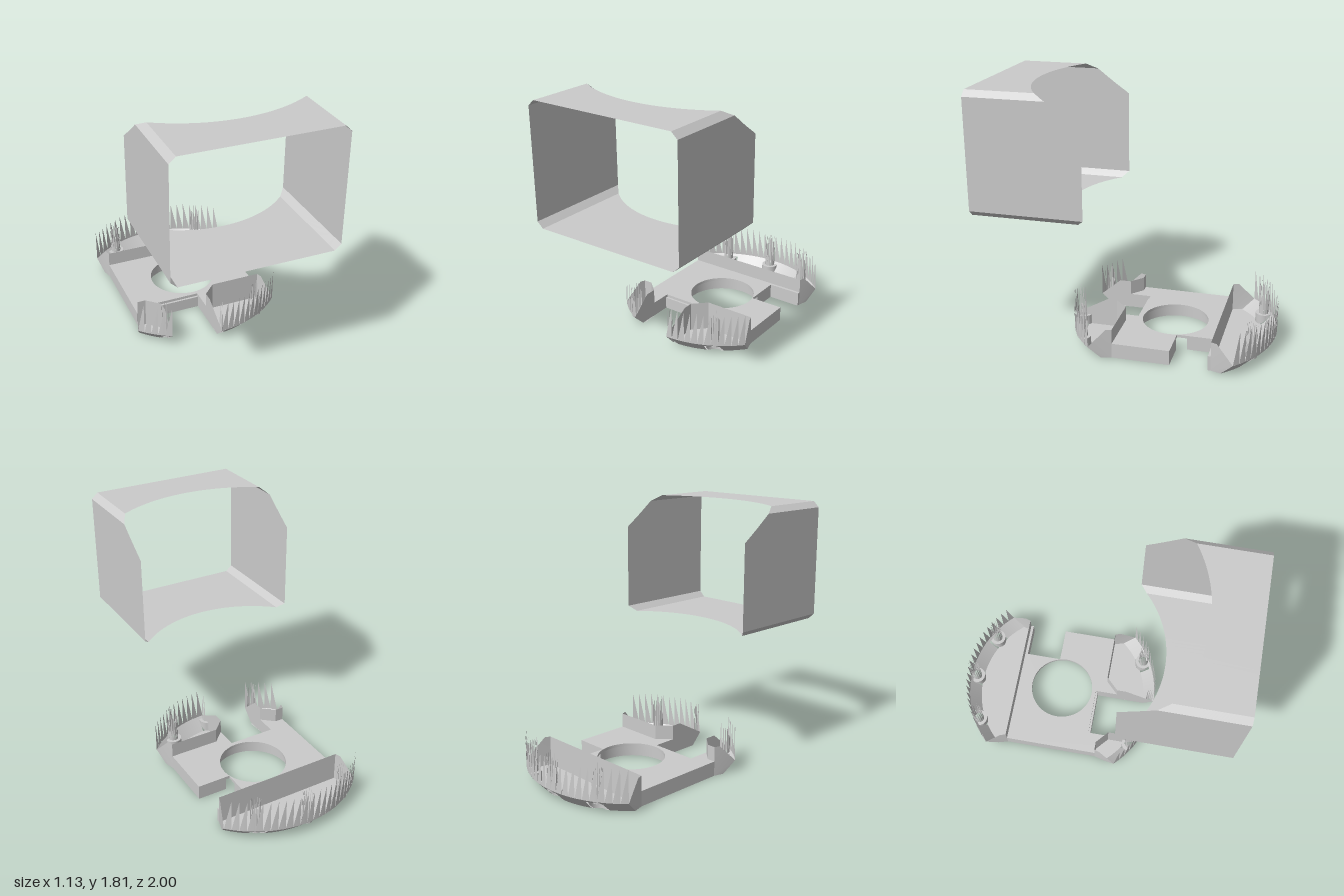
import * as THREE from 'three';
import { toCreasedNormals } from 'three/addons/utils/BufferGeometryUtils.js';

const CZ = -0.28;            // z of the common axis of the hole, rims and sleeve cut
const R0 = 0.64, R1 = 0.72;  // bottom and top radius of the chamfered rim
const RIM = 0.085, PLATE = 0.105, WALL = 0.21, TIP = 0.32;
const BOLT = 0.681, BORE = 0.06, HOLE = 0.037, SEAT = 0.07;

const mat = new THREE.MeshStandardMaterial({ color: 0xcccccc, side: THREE.DoubleSide });
const lerp = THREE.MathUtils.lerp;
const range = (n, f) => Array.from({ length: n + 1 }, (_, i) => f(i / n, i));

function add(group, name, geometry) {
  const mesh = new THREE.Mesh(toCreasedNormals(geometry, 0.45), mat);
  mesh.name = name;
  group.add(mesh);
}

// Geometry from a list of triangles, three points each
function fromTris(points) {
  return new THREE.BufferGeometry().setFromPoints(points);
}
function strip(a, b) {
  const p = [];
  for (let i = 0; i + 1 < a.length; i++) p.push(a[i], a[i + 1], b[i + 1], a[i], b[i + 1], b[i]);
  return fromTris(p);
}
function fan(pts) {
  const p = [];
  for (let i = 1; i + 1 < pts.length; i++) p.push(pts[0], pts[i], pts[i + 1]);
  return fromTris(p);
}
// Saw teeth along a path: each stands upright over its second base point
function teeth(path, top) {
  const p = [];
  for (let i = 0; i + 1 < path.length; i++) {
    p.push(path[i], path[i + 1], path[i + 1].clone().setY(top));
  }
  return fromTris(p);
}
const v = (x, y, z) => new THREE.Vector3(x, y, z);

// Flat slab in the xz plane between heights y0 and y1
function slab(shape, y0, y1) {
  const g = new THREE.ExtrudeGeometry(shape, { depth: y1 - y0, bevelEnabled: false, curveSegments: 48 });
  return g.rotateX(Math.PI / 2).translate(0, y1, 0);
}
function plateShape(notchZ, bored) {
  const s = new THREE.Shape();
  s.moveTo(-0.47, -0.62);
  s.lineTo(0.47, -0.62);
  s.lineTo(0.47, -0.6);
  s.lineTo(0.23, -0.6);
  if (bored) {
    // the wide bore breaks into the side notch
    s.lineTo(0.23, CZ - 0.132);
    s.absarc(0, CZ, 0.265, Math.atan2(-0.132, 0.23), Math.atan2(-0.06, 0.258), true);
  } else {
    s.lineTo(0.23, -0.34);
    s.holes.push(new THREE.Path().absarc(0, CZ, 0.235, 0, Math.PI * 2, true));
  }
  [[0.47, -0.34], [0.47, 0.06], [0.11, 0.06], [0.02, 0.15], [0.02, notchZ], [-0.32, notchZ],
    [-0.32, 0.14], [-0.41, 0.06], [-0.47, 0.06]].forEach(([x, z]) => s.lineTo(x, z));
  return s;
}

// Rim sections: inner wall line, angular limits by radius, and bolt positions in x
const endAngle = r => THREE.MathUtils.degToRad(lerp(50, 46.5, (r - R0) / (R1 - R0)));
const sections = [
  { name: 'backRim', s: -1, inner: [[-0.47, -0.62], [0.47, -0.62]], lo: r => -endAngle(r), hi: endAngle,
    bolts: [-0.34, 0, 0.34], n: 23, xMin: -1, xMax: 1, ends: [-1, 1] },
  { name: 'frontRimLeft', s: 1, inner: [[0.02, 0.15], [0.11, 0.06], [0.47, 0.06]],
    lo: r => Math.asin(0.02 / r), hi: endAngle, bolts: [0, 0.34], n: 12, xMin: 0.02, xMax: 1, ends: [1], cut: [0.02, 0.15] },
  { name: 'frontRimRight', s: 1, inner: [[-0.47, 0.06], [-0.41, 0.06], [-0.32, 0.14]],
    lo: r => -endAngle(r), hi: r => -Math.asin(0.32 / r), bolts: [-0.34], n: 5, xMin: -1, xMax: -0.32, ends: [-1], cut: [-0.32, 0.14] },
];

function buildRim(sec) {
  const g = new THREE.Group();
  g.name = sec.name;
  const at = (r, a, y) => v(r * Math.sin(a), y, CZ + sec.s * r * Math.cos(a));
  const angle = (r, t) => lerp(sec.lo(r), sec.hi(r), t);
  const coneY = r => RIM * (r - R0) / (R1 - R0);
  // half chord of the bolt bore at an angle, or -1 outside every bore
  const chord = a => Math.max(...sec.bolts.map(x => {
    const d = BOLT * (a - Math.asin(x / BOLT));
    return Math.abs(d) < BORE ? Math.sqrt(BORE * BORE - d * d) : -1;
  }));
  const N = sec.n * 10;

  // floor, notched by the bores
  const arc = range(N, t => {
    const a = angle(R0, 1 - t), h = chord(a);
    return at(h > 0 ? Math.min(R0, BOLT - h) : R0, a, 0);
  });
  const outline = [...sec.inner.map(p => new THREE.Vector2(...p)), ...arc.map(p => new THREE.Vector2(p.x, p.z))];
  add(g, 'floor', new THREE.ShapeGeometry(new THREE.Shape(outline)).rotateX(Math.PI / 2));

  // chamfer between floor and rim
  const low = range(N, t => {
    const a = angle(R0, t), h = chord(a);
    const r = h > 0 ? Math.max(R0, Math.min(0.705, BOLT + h)) : R0;
    return at(r, r > R0 ? angle(r, t) : a, coneY(r));
  });
  add(g, 'chamfer', strip(low, range(N, t => at(R1, angle(R1, t), RIM))));

  // toothed outer edge
  add(g, 'rimTeeth', teeth(range(sec.n, t => at(R1, angle(R1, sec.s > 0 ? t : 1 - t), RIM)), TIP));

  // inner upright wall
  add(g, 'innerWall', strip(sec.inner.map(([x, z]) => v(x, PLATE, z)), sec.inner.map(([x, z]) => v(x, WALL, z))));

  // slanted end walls
  for (const e of sec.ends) {
    const foot = v(e * 0.47, 0, sec.s < 0 ? -0.62 : 0.06);
    const tip = at(R1, e * endAngle(R1), RIM);
    add(g, 'endWall', fan([foot, foot.clone().setY(WALL), foot.clone().lerp(tip, 0.25).setY(WALL), tip,
      at(R0, e * endAngle(R0), 0)]));
  }
  // wall along the front notch
  if (sec.cut) {
    const [x, z] = sec.cut;
    const zAt = r => CZ + Math.sqrt(r * r - x * x);
    add(g, 'notchWall', fan([v(x, 0, z), v(x, WALL, z), v(x, WALL, 0.22), v(x, RIM, zAt(R1)), v(x, 0, zAt(R0))]));
  }

  // bolt seats: bore wall, ring and toothed hole
  for (const bx of sec.bolts) {
    const c = at(BOLT, Math.asin(bx / BOLT), SEAT);
    const ring = (rad, n) => range(n, t => {
      const a = t * Math.PI * 2;
      const x = c.x + rad * Math.cos(a), z = c.z + rad * Math.sin(a) - CZ;
      const k = Math.min(1, 0.705 / Math.hypot(x, z));
      return v(THREE.MathUtils.clamp(x * k, sec.xMin, sec.xMax), SEAT, z * k + CZ);
    });
    const outer = ring(BORE, 32);
    const foot = outer.map(p => p.clone().setY(
      THREE.MathUtils.clamp(coneY(Math.hypot(p.x, p.z - CZ)), 0, SEAT)));
    add(g, 'boltBore', strip(foot, outer));
    add(g, 'boltSeat', strip(ring(HOLE, 32), outer));
    const hole = range(16, t => v(c.x + HOLE * Math.cos(t * Math.PI * 2), SEAT, c.z + HOLE * Math.sin(t * Math.PI * 2)));
    const kept = hole.filter(p => p.x >= sec.xMin && p.x <= sec.xMax);
    // keep only neighbouring points so no tooth spans the cut
    for (let i = 0; i + 1 < kept.length; i++) {
      if (kept[i].distanceTo(kept[i + 1]) < 0.02) add(g, 'boltTooth', teeth([kept[i], kept[i + 1]], TIP));
    }
  }
  return g;
}

// Thin eight-sided sleeve, its back end cut by a cylinder that widens to a cone
function sleeveGeometry() {
  const corners = [[-0.52, 0.965], [0.52, 0.965], [0.563, 1.005], [0.563, 1.77], [0.52, 1.81],
    [-0.52, 1.81], [-0.563, 1.77], [-0.563, 1.005]];
  const front = [], back = [];
  corners.forEach(([x0, y0], i) => {
    const [x1, y1] = corners[(i + 1) % corners.length];
    range(40, t => {
      const x = lerp(x0, x1, t), y = lerp(y0, y1, t);
      const r = 0.75 + Math.max(0, y - 1.6);
      front.push(v(x, y, 1));
      back.push(v(x, y, CZ + Math.sqrt(r * r - x * x)));
    });
  });
  return strip(back, front);
}

export function createModel() {
  const model = new THREE.Group();
  model.name = 'mountAndSleeve';
  add(model, 'plateLower', slab(plateShape(0, true), 0, RIM));
  add(model, 'plateUpper', slab(plateShape(-0.015, false), RIM, PLATE));
  sections.forEach(sec => model.add(buildRim(sec)));
  add(model, 'sleeve', sleeveGeometry());
  return model;
}
